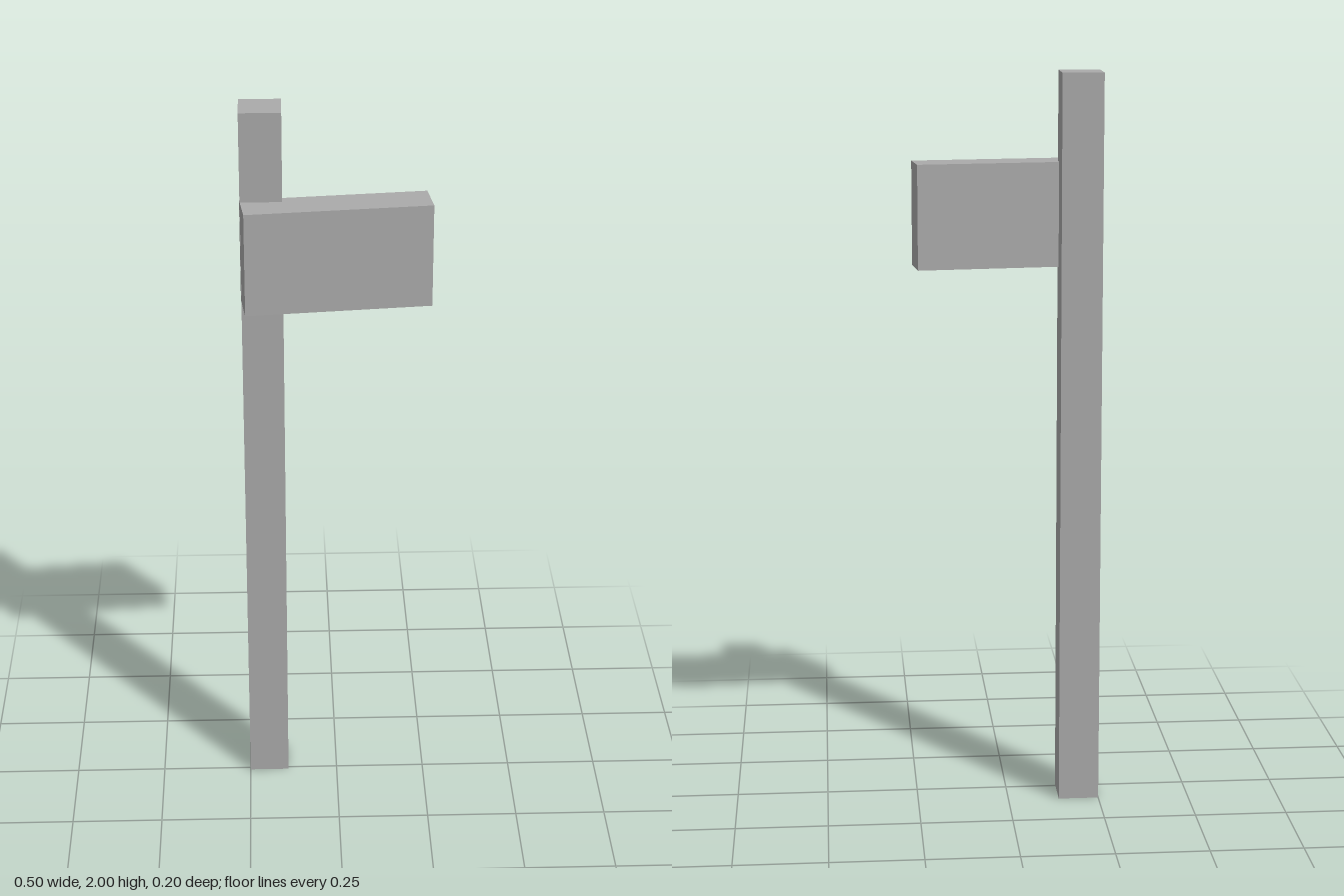
import * as THREE from 'three';

export function createModel() {
  const model = new THREE.Group();
  const grey = new THREE.MeshStandardMaterial({ color: 0xaaaaaa });
  grey.name = 'grey';

  function addBox(name, size, position) {
    const mesh = new THREE.Mesh(new THREE.BoxGeometry(...size), grey);
    mesh.name = name;
    mesh.position.set(...position);
    model.add(mesh);
    return mesh;
  }

  // Upright square post
  addBox('post', [0.11, 2, 0.11], [-0.195, 1, -0.045]);

  // Thick sign board, fixed to the post slightly askew
  const board = addBox('signBoard', [0.492, 0.28, 0.106], [-0.001, 1.62, 0.019]);
  board.rotation.y = 0.108;

  return model;
}
